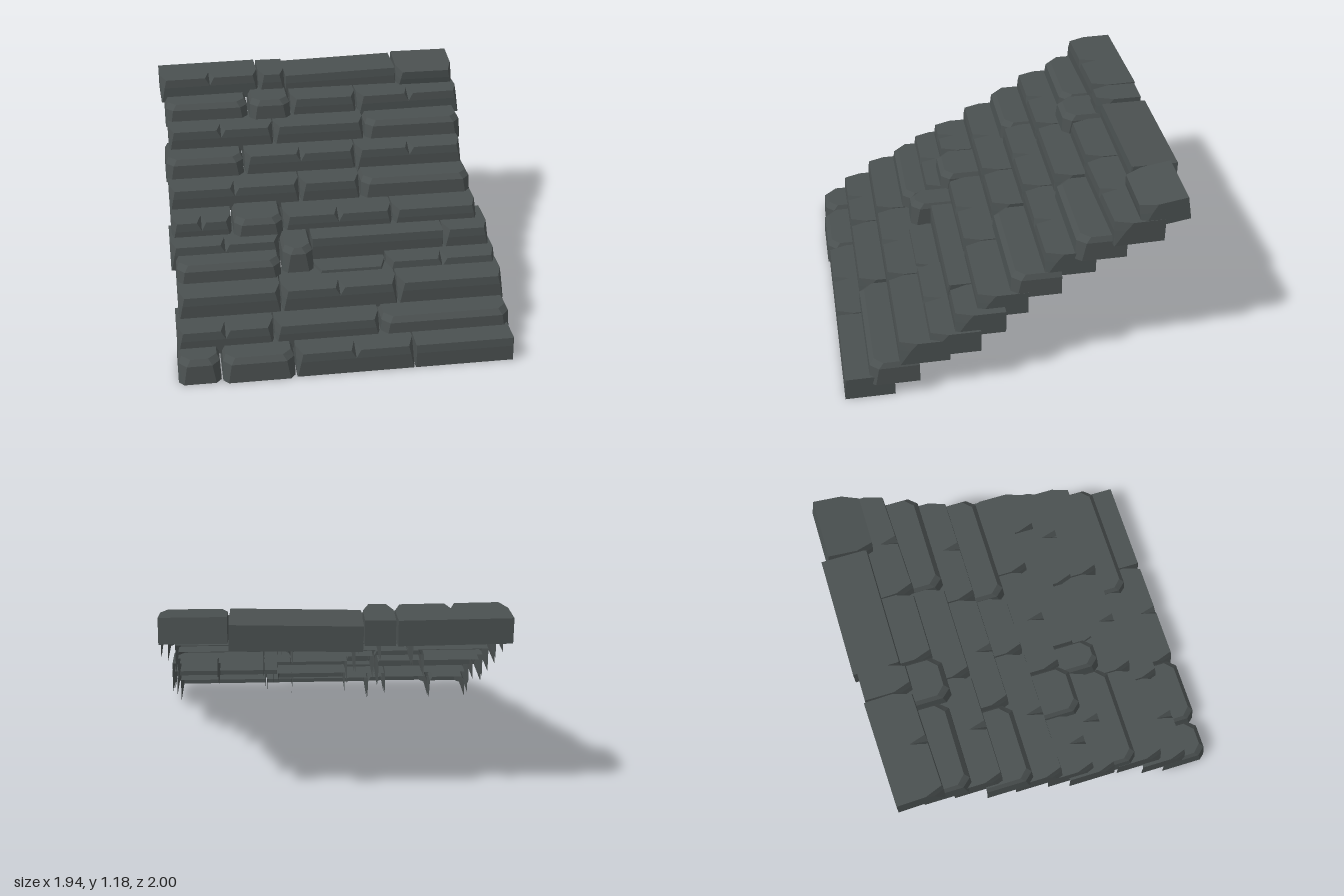
import * as THREE from 'three';

// Stones are open shells, so both sides are drawn
const stone = new THREE.MeshStandardMaterial({ color: 0x4a5050, flatShading: true, side: THREE.DoubleSide });
stone.name = 'darkSlate';

const HEIGHT = 0.145, GAP = 0.008;

// Shell with a top and walls from plan outlines stacked downwards; the last edge is the back wall
function loft(rings, closedBack) {
  const n = rings[0].length, pos = [];
  const tri = (a, b, c) => pos.push(...a, ...b, ...c);
  for (let r = 0; r < rings.length - 1; r++) {
    for (let i = 0; i < (closedBack ? n : n - 1); i++) {
      const j = (i + 1) % n, up = rings[r], low = rings[r + 1];
      tri(up[i], low[i], low[j]);
      tri(up[i], low[j], up[j]);
    }
  }
  const top = rings[0];
  const outline = top.map(p => new THREE.Vector2(p[0], -p[2]));
  for (const f of THREE.ShapeUtils.triangulateShape(outline, [])) tri(top[f[0]], top[f[1]], top[f[2]]);
  const g = new THREE.BufferGeometry();
  g.setAttribute('position', new THREE.Float32BufferAttribute(pos, 3));
  g.computeVertexNormals();
  return g;
}

// One stone: worn ones are bevelled along the front, the others have chipped
// top corners and sometimes a notch in the middle of the front edge
function stoneGeometry(w, depth, closedBack, { worn, notched, square }) {
  const h = HEIGHT / 2, b = -depth / 2;
  const ring = (y, inset, cutX, cutZ, notchWidth, notchDepth) => {
    const x = w / 2 - (worn ? inset * 0.6 : 0), f = depth / 2 - inset;
    const pts = [[-x, y, b], [-x, y, f - cutZ], [-x + cutX, y, f]];
    if (notched) pts.push([-notchWidth, y, f], [0, y, f - notchDepth], [notchWidth, y, f]);
    pts.push([x - cutX, y, f], [x, y, f - cutZ], [x, y, b]);
    return pts;
  };
  if (worn) {
    return loft([
      ring(h, 0.035, 0.05, 0.05),
      ring(h - 0.03, 0.008, 0.045, 0.05),
      ring(-h, 0, 0.03, 0.035)
    ], closedBack);
  }
  const cut = square ? 0.1 : 1;
  return loft([
    ring(h, 0.006, 0.035 * cut, 0.1 * cut, 0.028, 0.1),
    ring(h - 0.05, 0, 0.023 * cut, 0.065 * cut, 0, 0),
    ring(-h, 0, 0.004 * cut, 0.004 * cut, 0, 0)
  ], closedBack);
}

// Kinds of stone, with their shift out of the course and any turn
const kinds = {
  p: {},
  c: { up: -0.025 },
  q: { square: true },
  n: { notched: true },
  y: { notched: true, yaw: 0.03 },
  e: { worn: true, out: -0.005 },
  w: { worn: true, out: 0.01 },
  h: { worn: true, out: 0.01, up: 0.06 },
  s: { worn: true, out: 0.045, up: 0.015 },
  t: { worn: true, out: -0.025, up: 0.11 },
  r: { square: true, out: -0.025, up: -0.015, roll: 0.025 },
  b: { out: 0.01, pitch: 0.17 }
};

// Each course from the bottom: front z, top y, joints along x, kinds of stone (- is a gap)
const courses = [
  [0.99, 0.145, [-0.975, -0.725, -0.305, 0.38, 0.96], 'ewnq'],
  [0.835, 0.24, [-0.97, -0.41, 0.205, 0.975], 'npw'],
  [0.668, 0.368, [-0.95, -0.35, 0.335, 0.97], 'pnp'],
  [0.49, 0.41, [-0.95, -0.325, -0.13, 0.302, 0.97], 'htcn'],
  [0.345, 0.52, [-0.975, -0.32, -0.135, 0.67, 0.955], 'n-qp'],
  [0.21, 0.605, [-0.96, -0.592, -0.285, 0.385, 0.91], 'nsnp'],
  [0.01, 0.72, [-0.96, -0.16, 0.215, 0.91], 'npw'],
  [-0.175, 0.835, [-0.97, -0.48, 0.215, 0.89], 'wnn'],
  [-0.35, 0.945, [-0.94, -0.28, 0.295, 0.92], 'npw'],
  [-0.535, 1.045, [-0.95, -0.42, -0.15, 0.275, 0.94], 'wspy'],
  [-0.7, 1.155, [-0.97, -0.34, -0.165, 0.56, 0.935], 'yprb']
];

export function createModel() {
  const model = new THREE.Group();
  model.name = 'stoneSteps';
  courses.forEach(([front, top, joints, row], k) => {
    const step = new THREE.Group();
    step.name = 'step' + (k + 1);
    // Only the highest course has a back wall
    const last = k === courses.length - 1, depth = last ? 0.275 : 0.29;
    [...row].forEach((letter, i) => {
      if (letter === '-') return;
      const kind = kinds[letter], x0 = joints[i], x1 = joints[i + 1];
      const mesh = new THREE.Mesh(stoneGeometry(x1 - x0 - GAP, depth, last, kind), stone);
      mesh.name = 'stone' + (i + 1);
      mesh.position.set((x0 + x1) / 2, top - HEIGHT / 2 + (kind.up ?? 0), front - depth / 2 + (kind.out ?? 0));
      mesh.rotation.set(kind.pitch ?? 0, kind.yaw ?? 0, kind.roll ?? 0);
      step.add(mesh);
    });
    model.add(step);
  });
  return model;
}
